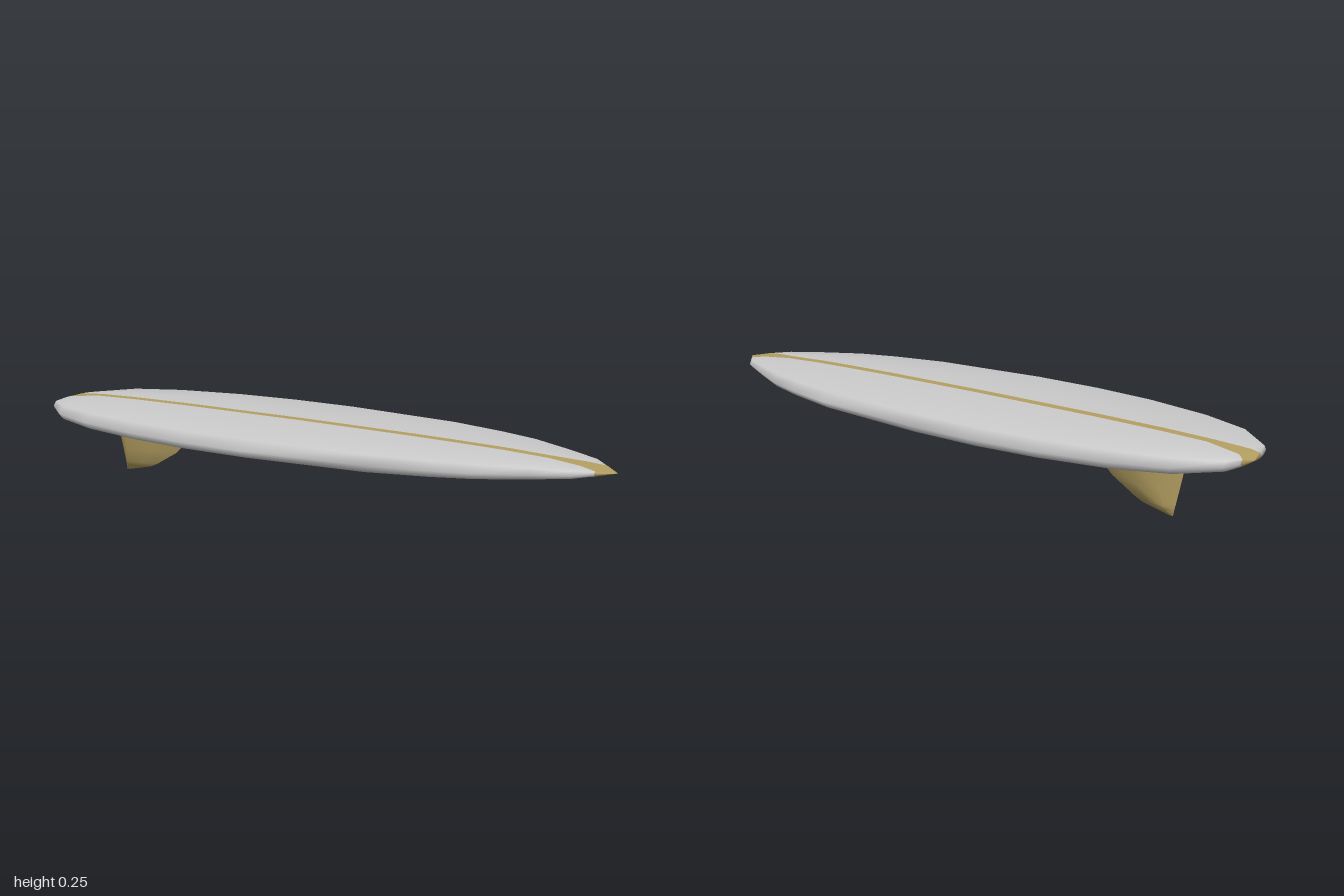
import * as THREE from 'three';
import { toCreasedNormals } from 'three/addons/utils/BufferGeometryUtils.js';

// Skin a list of closed rings; pick(i, j) gives the material index of each quad
function loft(rings, pick = () => 0) {
  const n = rings[0].length;
  const faces = [[], []];
  for (let i = 0; i < rings.length - 1; i++) {
    for (let j = 0; j < n; j++) {
      const k = (j + 1) % n;
      const a = i * n + j, b = i * n + k, c = a + n, d = b + n;
      faces[pick(i, j)].push(a, b, c, b, d, c);
    }
  }
  const geo = new THREE.BufferGeometry();
  geo.setAttribute('position', new THREE.Float32BufferAttribute(rings.flat(2), 3));
  geo.setIndex([...faces[0], ...faces[1]]);
  geo.addGroup(0, faces[0].length, 0);
  geo.addGroup(faces[0].length, faces[1].length, 1);
  geo.computeVertexNormals();
  return geo;
}

export function createModel() {
  const white = new THREE.MeshStandardMaterial({ color: 0xcccccc });
  white.name = 'boardWhite';
  const tan = new THREE.MeshStandardMaterial({ color: 0xb5a062 });
  tan.name = 'woodTan';
  const model = new THREE.Group();
  model.name = 'surfboard';

  // Board stations: x, half width, top y, bottom y, stripe half width
  const mid = 0.213;
  const stations = [
    [-1, 0, mid, mid, 0],
    [-0.988, 0.055, 0.224, 0.204, 0.045],
    [-0.97, 0.115, 0.233, 0.196, 0.033],
    [-0.86, 0.21, 0.244, 0.185, 0.016],
    [-0.7, 0.27, 0.248, 0.179, 0.016],
    [-0.48, 0.315, 0.25, 0.177, 0.016],
    [-0.27, 0.335, 0.25, 0.176, 0.016],
    [-0.04, 0.335, 0.25, 0.176, 0.016],
    [0.35, 0.302, 0.247, 0.178, 0.016],
    [0.53, 0.262, 0.244, 0.182, 0.016],
    [0.66, 0.222, 0.241, 0.186, 0.016],
    [0.8, 0.153, 0.235, 0.193, 0.016],
    [0.9, 0.102, 0.228, 0.2, 0.03],
    [0.95, 0.052, 0.221, 0.206, 0.042],
    [1, 0, mid, mid, 0],
  ];
  const rings = stations.map(([x, w, top, bottom, s]) => {
    const shoulder = w * 0.9;
    const inner = s + (shoulder - s) * 0.3;
    const half = (y) => [
      [x, y, s], [x, y - (y - mid) * 0.03, inner], [x, mid + (y - mid) * 0.74, shoulder],
    ];
    const up = half(top), down = half(bottom);
    const flip = (p) => [p[0], p[1], -p[2]];
    return [
      ...up, [x, mid, w], ...down.slice().reverse(),
      ...down.map(flip), [x, mid, -w], ...up.slice().reverse().map(flip),
    ];
  });
  // Columns 6 and 13 are the stripes; both tips are wholly tan
  const last = rings.length - 2;
  const pick = (i, j) => (j === 6 || j === 13 || i === 0 || i === last ? 1 : 0);
  const board = new THREE.Mesh(loft(rings, pick), [white, tan]);
  board.name = 'boardWithStringer';
  model.add(board);

  // Fin sections: y, trailing x, leading x, half thickness
  const sections = [
    [0.19, -0.793, -0.415, 0.046],
    [0.178, -0.79, -0.43, 0.045],
    [0.08, -0.768, -0.54, 0.035],
    [0.033, -0.757, -0.62, 0.027],
    [0.02, -0.754, -0.65, 0.019],
    [0, -0.75, -0.74, 0],
  ];
  const finRings = sections.map(([y, back, front, h]) => {
    const wide = back + (front - back) * 0.2;
    const taper = back + (front - back) * 0.6;
    return [
      [front, y, 0], [taper, y, h * 0.7], [wide, y, h],
      [back, y, 0], [wide, y, -h], [taper, y, -h * 0.7],
    ];
  });
  const finGeo = loft(finRings);
  finGeo.clearGroups();
  const fin = new THREE.Mesh(toCreasedNormals(finGeo, 1), tan);
  fin.name = 'fin';
  model.add(fin);

  return model;
}
